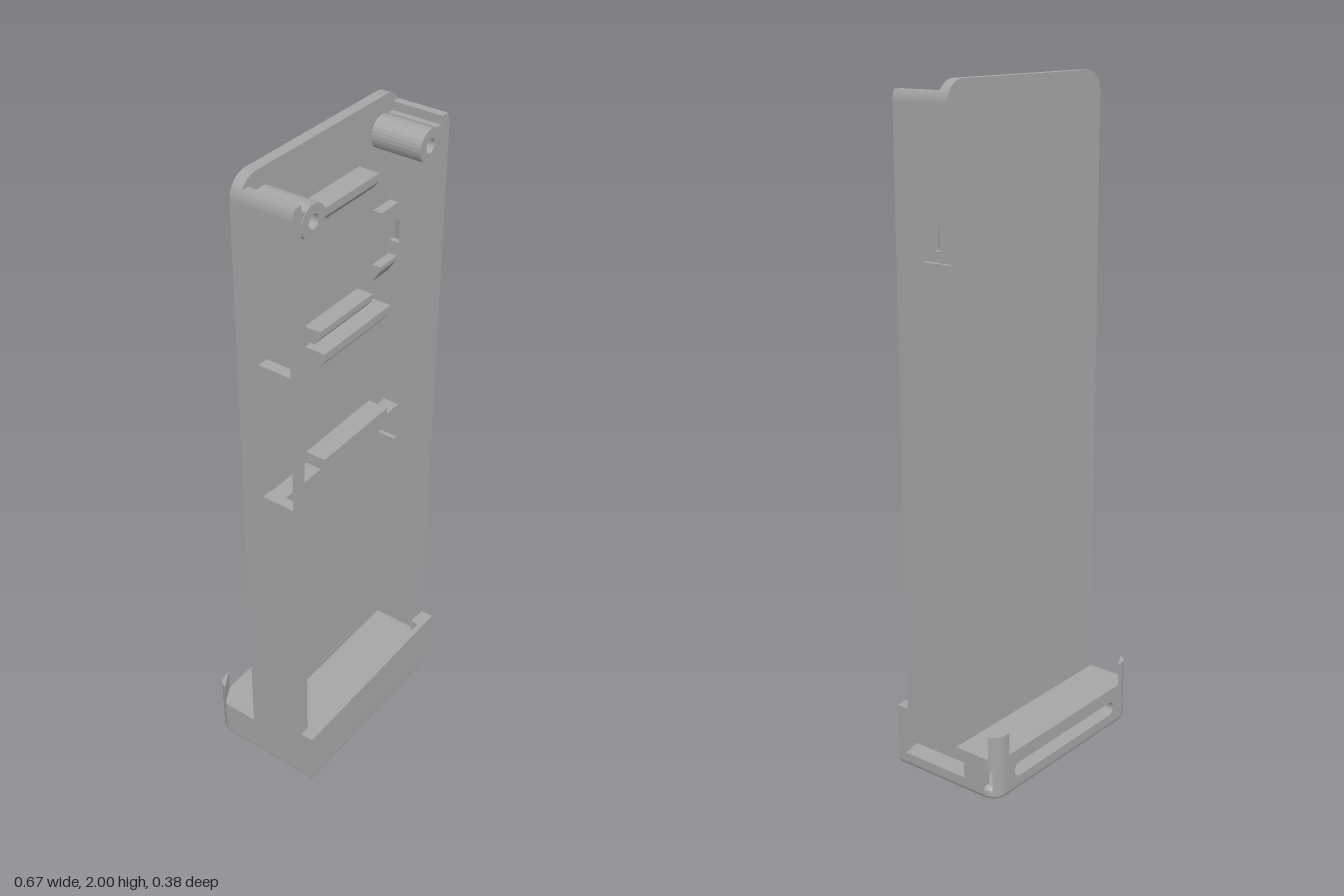
import * as THREE from 'three';

const W = 0.333; // half width of the case
const casing = new THREE.MeshStandardMaterial({ color: 0xa6a6a6 });
casing.name = 'grey plastic';

function rectPoints(a0, b0, a1, b1) {
  return [[a0, b0], [a1, b0], [a1, b1], [a0, b1]].map(p => new THREE.Vector2(...p));
}

function rect(a0, b0, a1, b1, holes = []) {
  const s = new THREE.Shape(rectPoints(a0, b0, a1, b1));
  for (const h of holes) s.holes.push(new THREE.Path(rectPoints(...h)));
  return s;
}

const extrude = (shape, depth, extra = {}) =>
  new THREE.ExtrudeGeometry(shape, { depth, bevelEnabled: false, curveSegments: 10, ...extra });

export function createModel() {
  const model = new THREE.Group();
  model.name = 'deviceCase';

  const add = (name, geometry) => {
    const mesh = new THREE.Mesh(geometry, casing);
    mesh.name = name;
    model.add(mesh);
    return mesh;
  };
  const block = (name, x0, x1, y0, y1, z0, z1) =>
    add(name, new THREE.BoxGeometry(x1 - x0, y1 - y0, z1 - z0)
      .translate((x0 + x1) / 2, (y0 + y1) / 2, (z0 + z1) / 2));
  // Extrusion along z, from a shape in x and y
  const panelZ = (name, shape, z0, z1) => add(name, extrude(shape, z1 - z0).translate(0, 0, z0));
  // Extrusion along y, from a shape in x and -z
  const panelY = (name, shape, y0, y1) =>
    add(name, extrude(shape, y1 - y0).rotateX(-Math.PI / 2).translate(0, y0, 0));
  // Extrusion along x, from a shape in z and y
  const panelX = (name, shape, x0, x1) =>
    add(name, extrude(shape, x1 - x0).rotateY(-Math.PI / 2).translate(x1, 0, 0));

  // Back plate with rounded top corners and a notch beside the side socket
  const r = 0.062;
  const plate = new THREE.Shape();
  plate.moveTo(-W, 0.1);
  plate.lineTo(W, 0.1);
  plate.lineTo(W, 1.53);
  plate.lineTo(0.318, 1.53);
  plate.lineTo(0.318, 1.66);
  plate.lineTo(W, 1.66);
  plate.lineTo(W, 2 - r);
  plate.absarc(W - r, 2 - r, r, 0, Math.PI / 2, false);
  plate.lineTo(-W + r, 2);
  plate.absarc(-W + r, 2 - r, r, Math.PI / 2, Math.PI, false);
  panelZ('backPlate', plate, -0.04, -0.008);

  // Side walls: recessed socket on the left, two large openings on the right
  const top = 2 - r;
  panelX('leftWallOuter', rect(-0.01, 0.1, 0.147, top, [[-0.009, 1.53, 0.055, 1.66]]), 0.318, W);
  panelX('leftWallInner', rect(-0.01, 0.1, 0.147, top, [[-0.005, 1.56, 0.025, 1.63]]), 0.3, 0.318);
  panelX('rightWall', rect(-0.01, 0.1, 0.147, top,
    [[0.03, 1.5, 0.132, 1.77], [0.03, 1.07, 0.132, 1.34]]), -W, -0.3);

  for (const s of [1, -1]) {
    // Wall end that follows the rounded corner
    const cap = new THREE.Shape();
    const a = Math.asin((1.97 - top) / r);
    cap.moveTo(s * 0.3, top);
    cap.lineTo(s * W, top);
    cap.absarc(s * (W - r), top, r, s > 0 ? 0 : Math.PI, s > 0 ? a : Math.PI - a, s < 0);
    cap.lineTo(s * 0.3, 1.97);
    panelZ('wallEnd', cap, -0.01, 0.147);

    // Teardrop screw boss and the web that ties it to the wall
    const cx = s * 0.25, cy = 1.905, R = 0.047;
    const boss = new THREE.Shape();
    boss.moveTo(cx, cy - R * Math.SQRT2);
    boss.absarc(cx, cy, R, -Math.PI / 4, Math.PI * 1.25, false);
    const hole = new THREE.Path();
    hole.absarc(cx, cy, 0.02, 0, Math.PI * 2, true);
    boss.holes.push(hole);
    panelZ('screwBoss', boss, -0.01, 0.145);
    const web = s > 0 ? [0.28, 0.305] : [-0.305, -0.28];
    block('bossWeb', ...web, 1.905, 1.945, -0.01, 0.143);

    // Vertical guide rib with a sloped lower end
    const rib = new THREE.Shape([[-0.01, 0.265], [0.05, 0.31], [0.05, 0.905], [-0.01, 0.905]]
      .map(p => new THREE.Vector2(...p)));
    panelX('guideRib', rib, s * 0.281 - 0.007, s * 0.281 + 0.007);
  }

  // Board ledges with a chamfered front edge: x range, y range, depth
  for (const [x0, x1, y0, y1, z] of [
    [-0.09, 0.15, 1.795, 1.843, 0.057],
    [-0.09, 0.15, 1.43, 1.475, 0.043],
    [-0.09, 0.22, 1.36, 1.41, 0.057],
    [-0.09, 0.22, 1.005, 1.055, 0.057],
  ]) {
    const ledge = new THREE.Shape([[-0.01, y0], [z - 0.02, y0], [z, y0 + 0.025], [z, y1], [-0.01, y1]]
      .map(p => new THREE.Vector2(...p)));
    panelX('boardLedge', ledge, x0, x1);
  }
  block('crossRibRight', -0.302, -0.07, 1.0, 1.016, -0.01, 0.043);
  block('crossRibLeft', 0.07, 0.302, 1.0, 1.016, -0.01, 0.043);
  block('crossRibMiddle', -0.07, 0.07, 0.993, 1.01, -0.01, 0.043);

  // Small supports beside the socket
  block('upperSupport', 0.22, 0.302, 1.67, 1.685, -0.01, 0.02);
  const wedge = new THREE.Shape([[-0.01, 1.46], [0.02, 1.505], [0.02, 1.518], [-0.01, 1.518]]
    .map(p => new THREE.Vector2(...p)));
  panelX('lowerSupport', wedge, 0.22, 0.302);

  // Base floor with rounded lower edges
  const b = 0.015, c = 0.045, zb = 0.188, zf = 0.188;
  const e = W - b, k = c - b;
  const floor = new THREE.Shape();
  floor.moveTo(-e, -zf + b);
  floor.lineTo(e, -zf + b);
  floor.lineTo(e, zb - c);
  floor.absarc(e - k, zb - c, k, 0, Math.PI / 2, false);
  floor.lineTo(-e + k, zb - b);
  floor.absarc(-e + k, zb - c, k, Math.PI / 2, Math.PI, false);
  add('baseFloor', extrude(floor, 0.01, {
    bevelEnabled: true, bevelThickness: b, bevelSize: b, bevelSegments: 4,
  }).rotateX(-Math.PI / 2).translate(0, b, 0));

  // Base walls: slot in the left side, rounded slot in the back
  const y0 = 0.018, y1 = 0.13, t = 0.025;
  panelX('baseLeftSide', rect(-zb + c, y0, zf, y1, [[-0.07, 0.042, 0.16, 0.09]]), W - t, W);
  panelX('baseRightSide', rect(-zb + c, y0, zf, y1), -W, -W + t);
  const back = rect(-W + c, y0, W - c, y1);
  const slot = new THREE.Path();
  slot.absarc(0.225, 0.065, 0.022, -Math.PI / 2, Math.PI / 2, false);
  slot.absarc(-0.225, 0.065, 0.022, Math.PI / 2, Math.PI * 1.5, false);
  back.holes.push(slot);
  panelZ('baseBack', back, -zb, -zb + t);

  // Rounded rear corners; the left one has a slit in its lower part
  const corner = (s, from) => {
    const q = new THREE.Shape();
    const a0 = s > 0 ? from : Math.PI - from;
    q.absarc(s * (W - c), zb - c, c, a0, Math.PI / 2, s < 0);
    q.absarc(s * (W - c), zb - c, c - t, Math.PI / 2, a0, s > 0);
    return q;
  };
  panelY('leftCornerLower', corner(1, 0.6), y0, 0.09);
  panelY('leftCornerUpper', corner(1, 0), 0.09, y1);
  panelY('rightCorner', corner(-1, 0), y0, y1);

  // Deck over the base, rounded at the rear
  const deck = new THREE.Shape();
  deck.moveTo(-W, -0.18);
  deck.lineTo(W, -0.18);
  deck.lineTo(W, zb - c);
  deck.absarc(W - c, zb - c, c, 0, Math.PI / 2, false);
  deck.lineTo(-W + c, zb);
  deck.absarc(-W + c, zb - c, c, Math.PI / 2, Math.PI, false);
  panelY('baseDeck', deck, 0.105, y1);

  // Front lip with thicker ends
  block('frontLip', -W, W, y0, 0.19, 0.17, zf);
  block('lipEndLeft', 0.272, W, 0.12, 0.19, 0.145, 0.175);
  block('lipEndRight', -W, -0.272, 0.12, 0.19, 0.145, 0.175);

  // Rear corner posts
  for (const s of [1, -1]) {
    const post = new THREE.Shape();
    const az = Math.asin((0.157 - zb + c) / c);
    post.moveTo(s * 0.272, 0.157);
    post.absarc(s * (W - c), zb - c, c, s > 0 ? az : Math.PI - az, Math.PI / 2, s < 0);
    post.lineTo(s * 0.272, zb);
    panelY('rearPost', post, 0.12, 0.2);
  }

  return model;
}
